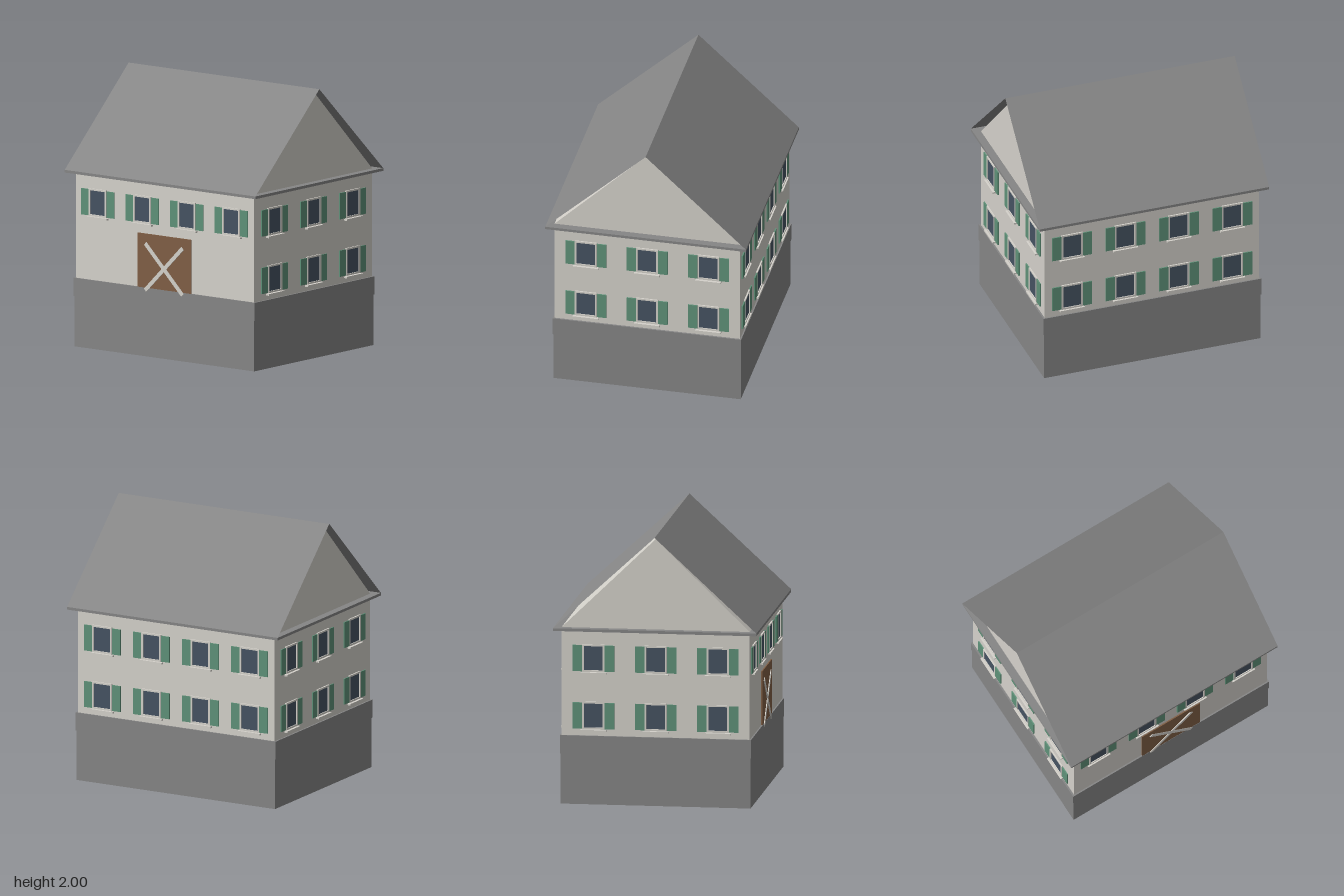
import * as THREE from 'three';

const mat = (name, color, side = THREE.FrontSide) =>
  Object.assign(new THREE.MeshStandardMaterial({ color, side }), { name });

export function createModel() {
  const wall = mat('plaster', 0xd5d2cb);
  const stone = mat('stoneGrey', 0x868686);
  const roofMat = mat('roofGrey', 0x868686, THREE.DoubleSide);
  const green = mat('shutterGreen', 0x5f9279);
  const glass = mat('glassBlue', 0x465362);
  const wood = mat('doorBrown', 0x805f45);

  const house = new THREE.Group();
  house.name = 'house';

  const add = (parent, name, geometry, material, x = 0, y = 0, z = 0) => {
    const mesh = new THREE.Mesh(geometry, material);
    mesh.name = name;
    mesh.position.set(x, y, z);
    parent.add(mesh);
    return mesh;
  };
  const box = (parent, name, material, [w, h, d], [x, y, z]) =>
    add(parent, name, new THREE.BoxGeometry(w, h, d), material, x, y, z);

  // Walls, stone base and its slightly wider upper band
  const W = 0.83, D = 0.693;
  box(house, 'walls', wall, [2 * W, 1.29, 2 * D], [0, 0.645, 0]);
  box(house, 'base', stone, [1.674, 0.379, 1.4], [0, 0.1905, 0]);
  box(house, 'baseBand', stone, [1.686, 0.135, 1.408], [0, 0.4425, 0]);

  // Eave slab
  box(house, 'eaves', stone, [1.776, 0.02, 1.5], [0, 1.3, 0]);

  // Gable prism running along x under the roof
  const tri = new THREE.Shape([
    new THREE.Vector2(-D, 1.31), new THREE.Vector2(D, 1.31), new THREE.Vector2(0, 1.98),
  ]);
  const gable = new THREE.ExtrudeGeometry(tri, { depth: 2 * W, bevelEnabled: false });
  gable.translate(0, 0, -W).rotateY(Math.PI / 2);
  add(house, 'gables', gable, wall);

  // Two thin roof slopes
  const rise = 0.69, run = 0.75;
  for (const s of [1, -1]) {
    const slope = new THREE.PlaneGeometry(1.776, Math.hypot(rise, run));
    slope.rotateX(-Math.atan2(run, rise));
    if (s < 0) slope.rotateY(Math.PI);
    add(house, s > 0 ? 'frontRoofSlope' : 'backRoofSlope', slope, roofMat, 0, 1.31 + rise / 2, s * run / 2);
  }

  // Window frame with an opening
  const rect = (Type, w, h) => new Type([
    new THREE.Vector2(-w / 2, -h / 2), new THREE.Vector2(w / 2, -h / 2),
    new THREE.Vector2(w / 2, h / 2), new THREE.Vector2(-w / 2, h / 2),
  ]);
  const frameShape = rect(THREE.Shape, 0.164, 0.204);
  frameShape.holes.push(rect(THREE.Path, 0.138, 0.178));
  const frameGeo = new THREE.ExtrudeGeometry(frameShape, { depth: 0.011, bevelEnabled: false });

  // One window, facing +z, with its back on z = 0
  const makeWindow = (sillDepth) => {
    const g = new THREE.Group();
    g.name = 'window';
    add(g, 'frame', frameGeo, wall);
    box(g, 'pane', glass, [0.138, 0.178, 0.004], [0, 0, 0.002]);
    box(g, 'sill', wall, [0.19, 0.012, sillDepth], [0, -0.111, sillDepth / 2]);
    for (const s of [1, -1])
      box(g, 'shutter', green, [0.07, 0.194, 0.009], [s * 0.118, -0.002, 0.0045]);
    return g;
  };

  // Window rows on each side of the house
  const long = [-0.621, -0.207, 0.207, 0.621], short = [-0.458, 0, 0.458];
  const upper = 1.086, lower = 0.66;
  const sides = [
    { name: 'frontWindows', turn: 0, out: D, cols: long, rows: [upper], sill: 0.021 },
    { name: 'leftWindows', turn: 1, out: W, cols: short, rows: [upper, lower], sill: 0.026 },
    { name: 'backWindows', turn: 2, out: D, cols: long, rows: [upper, lower], sill: 0.021 },
    { name: 'rightWindows', turn: 3, out: W, cols: short, rows: [upper, lower], sill: 0.026 },
  ];
  for (const { name, turn, out, cols, rows, sill } of sides) {
    const group = new THREE.Group();
    group.name = name;
    group.rotation.y = turn * Math.PI / 2;
    for (const y of rows) for (const x of cols) {
      const win = makeWindow(sill);
      win.position.set(x, y, out);
      group.add(win);
    }
    house.add(group);
  }

  // Barn door with crossed braces
  box(house, 'door', wood, [0.496, 0.49, 0.02], [0, 0.665, 0.6925]);
  for (const s of [1, -1]) {
    const brace = box(house, 'doorBrace', wall, [0.49, 0.03, 0.008], [0, 0.665, s > 0 ? 0.7045 : 0.704]);
    brace.rotation.z = s * Math.PI / 4;
  }

  return house;
}
